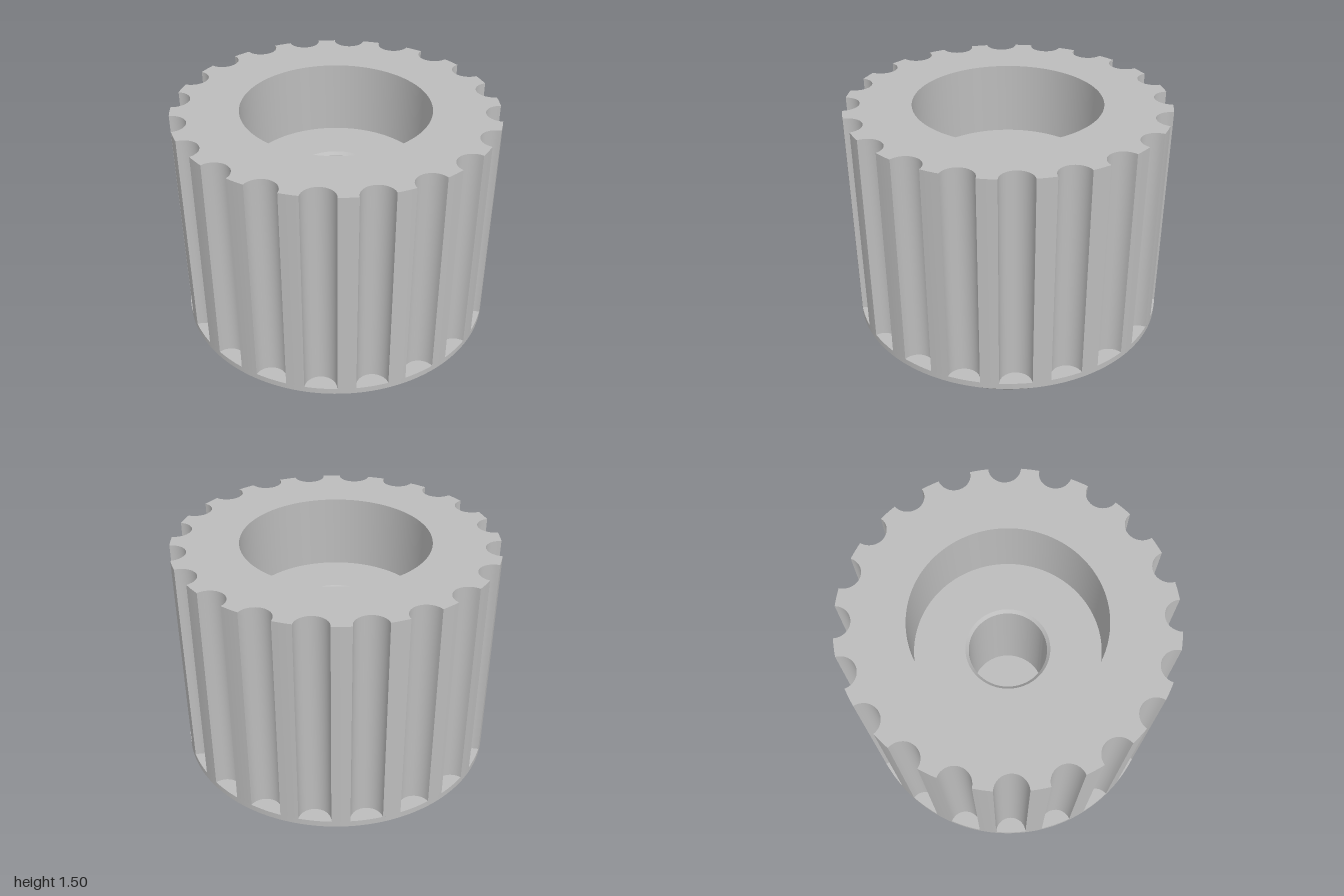
import * as THREE from 'three';
import { toCreasedNormals } from 'three/addons/utils/BufferGeometryUtils.js';

const HEIGHT = 1.5, FLUTES = 20, FLUTE_R = 0.1, FLUTE_Y = 0.125;
const BASE_R = 0.91, CHAMFER_Y = 0.085;
const SLOT_HALF = 0.065, SLOT_Y = 0.07, SLOT_START = 0.27;
const SLOT_R = BASE_R + (1 - BASE_R) * SLOT_Y / CHAMFER_Y;

// Plan point (x, y seen from above) lifted to a height.
const lift = (points, y) => points.map(p => new THREE.Vector3(p.x, y, -p.y));

// Arc in plan, counterclockwise from angle a to b.
function arc(r, a, b, n) {
  return Array.from({ length: n + 1 }, (_, i) => {
    const t = a + (b - a) * i / n;
    return new THREE.Vector2(r * Math.cos(t), r * Math.sin(t));
  });
}
const circle = r => arc(r, 0, Math.PI * 2, 160);
function slottedCircle(r) {
  const gap = Math.asin(SLOT_HALF / r);
  return arc(r, gap, Math.PI * 2 - gap, 160);
}

// Ruled surface between a lower and an upper row of points.
function strip(lower, upper) {
  const pos = [];
  for (let i = 0; i < lower.length - 1; i++) {
    for (const v of [lower[i], lower[i + 1], upper[i], lower[i + 1], upper[i + 1], upper[i]]) pos.push(v.x, v.y, v.z);
  }
  const g = new THREE.BufferGeometry();
  g.setAttribute('position', new THREE.Float32BufferAttribute(pos, 3));
  return toCreasedNormals(g, 0.5);
}

// Flat face at a height, looking up (1) or down (-1).
function flat(shape, y, facing) {
  return new THREE.ShapeGeometry(shape, 80).rotateX(-facing * Math.PI / 2).translate(0, y, 0);
}

// Concave flute outline around angle phi.
const HALF = 2 * Math.asin(FLUTE_R / 2);
function fluteArc(phi) {
  const T = Math.acos((1 - Math.cos(HALF)) / FLUTE_R);
  return Array.from({ length: 17 }, (_, i) => {
    const t = -T + 2 * T * i / 16;
    return new THREE.Vector2(1 - FLUTE_R * Math.cos(t), FLUTE_R * Math.sin(t))
      .rotateAround(new THREE.Vector2(), phi);
  });
}

export function createModel() {
  const group = new THREE.Group();
  const grey = new THREE.MeshStandardMaterial({ color: 0xbcbcbc });
  grey.name = 'grey';
  const add = (name, geometry) => {
    const mesh = new THREE.Mesh(geometry, grey);
    mesh.name = name;
    group.add(mesh);
  };

  // Fluted grip: flutes alternating with lands, and a ledge under each flute
  const outline = [];
  const step = Math.PI * 2 / FLUTES;
  for (let k = 0; k < FLUTES; k++) {
    const phi = (k + 0.5) * step;
    const flute = fluteArc(phi);
    outline.push(...flute, ...arc(1, phi + HALF, phi + step - HALF, 4).slice(1, -1));
    const ledge = new THREE.Shape([...flute, ...arc(1, phi + HALF, phi - HALF, 8).slice(1, -1)]);
    add('fluteLedge', flat(ledge, FLUTE_Y, 1));
  }
  const closed = [...outline, outline[0]];
  add('flutedGrip', strip(lift(closed, FLUTE_Y), lift(closed, HEIGHT)));

  // Rim
  const rim = new THREE.Shape(outline);
  rim.holes.push(new THREE.Path().absarc(0, 0, 0.585, 0, Math.PI * 2, true));
  add('rim', flat(rim, HEIGHT, 1));

  // Wide bore stepping down to a countersunk shaft hole
  const bore = [[0.585, HEIGHT], [0.585, 1.03], [0.265, 1.03], [0.245, 1.01], [0.245, 0.25], [0, 0.25]];
  add('bore', toCreasedNormals(new THREE.LatheGeometry(bore.map(p => new THREE.Vector2(...p)), 160), 0.5));

  // Collar and chamfer, the lower chamfer cut by the pointer slot
  add('collar', strip(lift(circle(1), CHAMFER_Y), lift(circle(1), FLUTE_Y)));
  add('upperChamfer', strip(lift(circle(SLOT_R), SLOT_Y), lift(circle(1), CHAMFER_Y)));
  add('lowerChamfer', strip(lift(slottedCircle(BASE_R), 0), lift(slottedCircle(SLOT_R), SLOT_Y)));

  // Face with the pointer slot
  const slotPath = r => {
    const end = Math.sqrt(r * r - SLOT_HALF * SLOT_HALF);
    return [[end, -SLOT_HALF], [SLOT_START, -SLOT_HALF], [SLOT_START, SLOT_HALF], [end, SLOT_HALF]]
      .map(p => new THREE.Vector2(...p));
  };
  const inner = slotPath(BASE_R).slice(1, 3);
  add('face', flat(new THREE.Shape([...slottedCircle(BASE_R), ...inner]), 0, -1));
  add('slotWalls', strip(lift(slotPath(BASE_R), 0), lift(slotPath(SLOT_R), SLOT_Y)));
  add('slotFloor', flat(new THREE.Shape(slotPath(SLOT_R)), SLOT_Y, -1));

  return group;
}
